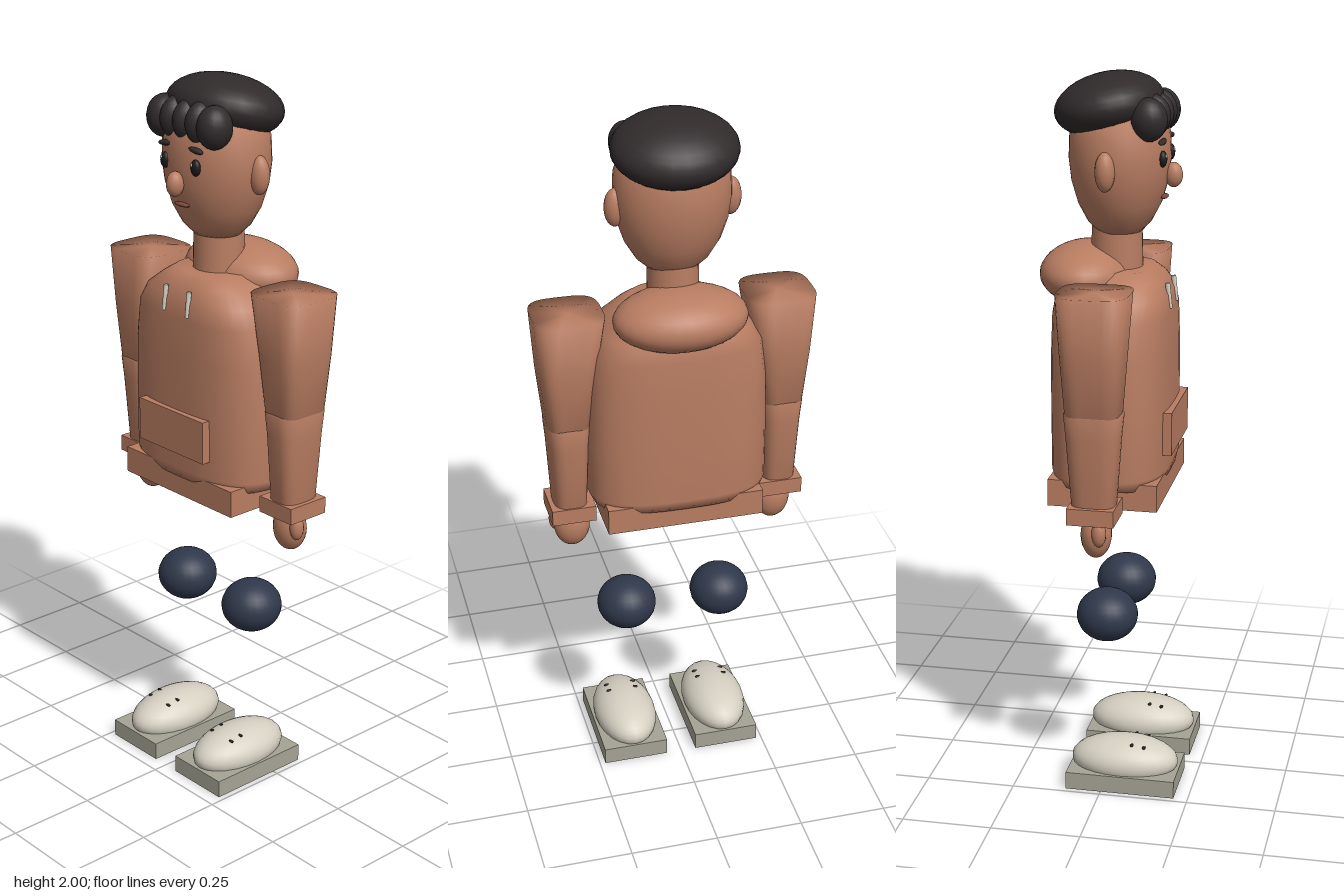
import * as THREE from 'three';

const mat = (name, color) => {
  const m = new THREE.MeshStandardMaterial({ color });
  m.name = name;
  return m;
};

// Closed loft through rounded-square rings [y, rx, rz, cx]
function loft(rings, power, sides = 32) {
  const pos = [], idx = [];
  const soft = (v) => Math.sign(v) * Math.pow(Math.abs(v), 2 / power);
  for (const [y, rx, rz, cx = 0] of rings) {
    for (let i = 0; i < sides; i++) {
      const a = (i / sides) * Math.PI * 2;
      pos.push(cx + rx * soft(Math.sin(a)), y, rz * soft(Math.cos(a)));
    }
  }
  for (let r = 0; r < rings.length - 1; r++) {
    for (let i = 0; i < sides; i++) {
      const a = r * sides + i, b = r * sides + ((i + 1) % sides);
      idx.push(a, b, b + sides, a, b + sides, a + sides);
    }
  }
  const first = rings[0], last = rings[rings.length - 1];
  const bottom = pos.length / 3, top = bottom + 1;
  pos.push(first[3] || 0, first[0], 0, last[3] || 0, last[0], 0);
  const base = (rings.length - 1) * sides;
  for (let i = 0; i < sides; i++) {
    const j = (i + 1) % sides;
    idx.push(bottom, j, i, top, base + i, base + j);
  }
  const g = new THREE.BufferGeometry();
  g.setAttribute('position', new THREE.Float32BufferAttribute(pos, 3));
  g.setIndex(idx);
  g.computeVertexNormals();
  return g;
}

export function createModel() {
  const model = new THREE.Group();
  model.name = 'figure';
  const skin = mat('warm brown', 0xb97d62);
  const hairMat = mat('hair black', 0x302a2b);
  const navy = mat('navy', 0x2f384b);
  const cream = mat('shoe cream', 0xd6d0c2);
  const soleMat = mat('sole grey', 0xa6a496);
  const dark = mat('eye black', 0x1c1a1c);
  const white = mat('eye glint white', 0xf4f2ee);
  const lip = mat('mouth brown', 0x7c463c);

  const add = (name, geo, material, x = 0, y = 0, z = 0) => {
    const m = new THREE.Mesh(geo, material);
    m.name = name;
    m.position.set(x, y, z);
    model.add(m);
    return m;
  };
  const ball = (name, material, x, y, z, rx, ry, rz, seg = 24) => {
    const m = add(name, new THREE.SphereGeometry(1, seg, Math.ceil(seg * 0.7)), material, x, y, z);
    m.scale.set(rx, ry, rz);
    return m;
  };
  const box = (name, material, x, y, z, w, h, d) =>
    add(name, new THREE.BoxGeometry(w, h, d), material, x, y, z);

  // Head and neck
  const profile = [[0, 1.57], [0.07, 1.572], [0.1, 1.6], [0.13, 1.65], [0.15, 1.71],
    [0.158, 1.77], [0.155, 1.84], [0.13, 1.9], [0, 1.95]].map(([r, y]) => new THREE.Vector2(r, y));
  add('head', new THREE.LatheGeometry(profile, 32), skin, 0, 0, 0.01).scale.z = 0.87;
  add('neck', new THREE.CylinderGeometry(0.068, 0.072, 0.16, 24), skin, 0, 1.53, 0.002);
  ball('nose', skin, 0, 1.727, 0.156, 0.023, 0.034, 0.025, 16);
  ball('mouth', lip, 0, 1.668, 0.132, 0.029, 0.006, 0.01, 12);

  // Hair cap and fringe curls
  ball('hairCap', hairMat, 0, 1.911, -0.02, 0.17, 0.085, 0.148, 24).rotation.x = -0.2;
  for (let i = -2; i <= 2; i++) {
    const edge = Math.abs(i) === 2;
    ball('fringeCurl', hairMat, i * 0.05, 1.886 + (edge ? 0 : 0.004), 0.106,
      edge ? 0.046 : 0.036, 0.058, 0.05, 18);
  }

  // Torso, hood, hem and pocket
  add('torso', loft([[0.9, 0.242, 0.156], [0.93, 0.254, 0.163], [1.1, 0.254, 0.164], [1.25, 0.25, 0.164],
    [1.36, 0.237, 0.161], [1.41, 0.205, 0.154], [1.45, 0.15, 0.132], [1.475, 0.11, 0.105]], 2.9, 40), skin);
  ball('hood', skin, 0, 1.455, -0.08, 0.184, 0.083, 0.128, 28);
  box('hem', skin, 0, 0.8825, 0.004, 0.44, 0.075, 0.302);
  box('pocket', skin, 0, 1.04, 0.166, 0.264, 0.12, 0.026);

  for (const s of [1, -1]) {
    // Face details
    ball('ear', skin, s * 0.156, 1.754, 0, 0.029, 0.053, 0.027, 18);
    ball('eye', dark, s * 0.061, 1.778, 0.137, 0.015, 0.022, 0.012, 16);
    ball('eyeGlint', white, s * 0.061 - 0.005, 1.786, 0.147, 0.004, 0.005, 0.003, 8);
    const brow = ball('eyebrow', hairMat, s * 0.061, 1.824, 0.136, 0.027, 0.008, 0.01, 12);
    brow.rotation.z = -s * 0.12;

    // Drawstring
    const cord = add('drawstring', new THREE.CylinderGeometry(0.007, 0.006, 0.07, 10), cream, s * 0.047, 1.406, 0.154);
    cord.rotation.x = -0.12;

    // Arm
    add('upperArm', loft([[1.13, 0.058, 0.074, s * 0.302], [1.3, 0.078, 0.086, s * 0.3],
      [1.465, 0.097, 0.097, s * 0.292]], 3.6), skin);
    add('forearm', loft([[0.86, 0.046, 0.058, s * 0.3], [1.08, 0.056, 0.074, s * 0.302],
      [1.14, 0.061, 0.08, s * 0.302], [1.155, 0.05, 0.066, s * 0.302]], 3), skin);
    box('cuff', skin, s * 0.298, 0.866, 0, 0.124, 0.046, 0.128);
    ball('hand', skin, s * 0.293, 0.8, 0.004, 0.051, 0.066, 0.042, 20);
    ball('thumb', skin, s * 0.337, 0.815, 0.02, 0.019, 0.036, 0.02, 14);

    // Knee
    ball('knee', navy, s * 0.139, 0.505, 0.002, 0.085, 0.075, 0.086, 24);

    // Shoe
    box('sole', soleMat, s * 0.139, 0.025, 0.055, 0.19, 0.05, 0.31);
    ball('shoeUpper', cream, s * 0.139, 0.0675, 0.053, 0.091, 0.0675, 0.153, 24);
    for (const z of [0.08, 0.115]) {
      for (const t of [-1, 1]) {
        ball('lace', dark, s * 0.139 + t * 0.04, z < 0.1 ? 0.126 : 0.121, z, 0.009, 0.004, 0.005, 8);
      }
    }
  }
  return model;
}
